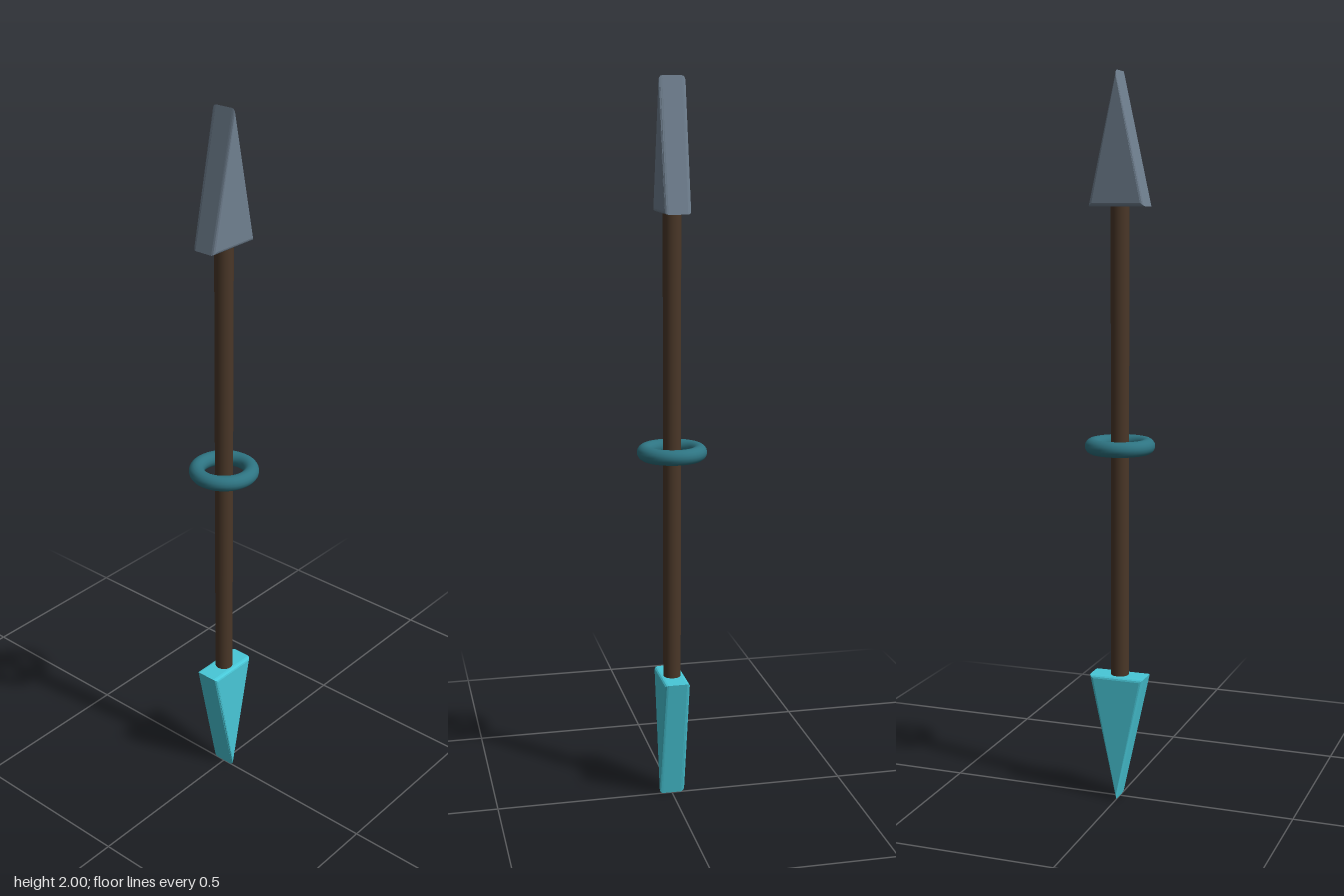
import * as THREE from 'three';

// Bevelled triangular blade: base at y = 0, tip at y = height
function bladeGeometry(height) {
  const bevel = 0.01, halfWidth = 0.079, halfDepth = 0.036;
  const shape = new THREE.Shape();
  shape.moveTo(-halfWidth + 0.011, 0.009);
  shape.lineTo(halfWidth - 0.011, 0.009);
  shape.lineTo(0, height - 0.014);
  shape.closePath();
  const depth = 2 * (halfDepth - bevel);
  const geometry = new THREE.ExtrudeGeometry(shape, {
    depth, bevelEnabled: true, bevelSize: bevel, bevelThickness: bevel, bevelSegments: 3,
  });
  return geometry.translate(0, 0, -depth / 2);
}

export function createModel() {
  const model = new THREE.Group();
  const add = (name, geometry, color, y) => {
    const mesh = new THREE.Mesh(geometry, new THREE.MeshStandardMaterial({ color }));
    mesh.name = name;
    mesh.position.y = y;
    model.add(mesh);
    return mesh;
  };

  // Shaft between the two blades
  add('shaft', new THREE.CylinderGeometry(0.025, 0.025, 1.3, 16), 0x4a3728, 1.003);

  // Steel blade up, bright blade down
  add('upperBlade', bladeGeometry(0.352), 0x708090, 1.648);
  add('lowerBlade', bladeGeometry(0.357), 0x48c8d8, 0.357).rotation.z = Math.PI;

  // Loose ring around the middle
  add('ring', new THREE.TorusGeometry(0.075, 0.0212, 16, 48), 0x2e7482, 1.003).rotation.x = Math.PI / 2;

  return model;
}
